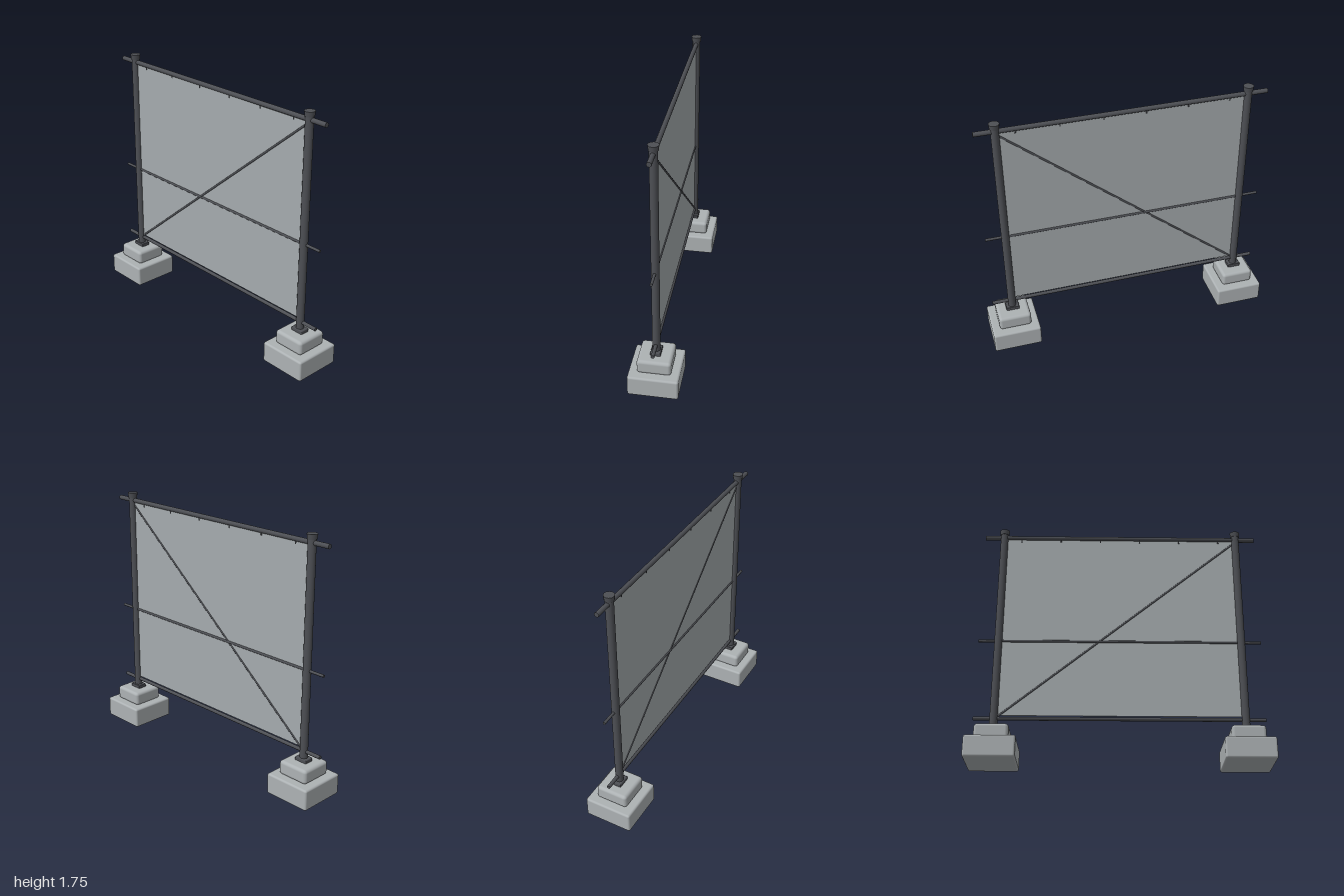
import * as THREE from 'three';
import { RoundedBoxGeometry } from 'three/addons/geometries/RoundedBoxGeometry.js';

export function createModel() {
  const model = new THREE.Group();
  model.name = 'fencePanel';

  const steel = new THREE.MeshStandardMaterial({ color: 0x4d4f54 });
  steel.name = 'dark steel';
  const concrete = new THREE.MeshStandardMaterial({ color: 0xadb2b4 });
  concrete.name = 'concrete';
  const sheet = new THREE.MeshStandardMaterial({ color: 0xa5abae });
  sheet.name = 'grey sheet';

  const add = (parent, name, geometry, material, x = 0, y = 0, z = 0) => {
    const mesh = new THREE.Mesh(geometry, material);
    mesh.name = name;
    mesh.position.set(x, y, z);
    parent.add(mesh);
    return mesh;
  };

  // Round bar between two points in the fence plane
  const bar = (name, x1, y1, x2, y2, radius, sides = 12) => {
    const dx = x2 - x1, dy = y2 - y1;
    const geometry = new THREE.CylinderGeometry(radius, radius, Math.hypot(dx, dy), sides);
    const mesh = add(model, name, geometry, steel, (x1 + x2) / 2, (y1 + y2) / 2);
    mesh.rotation.z = Math.atan2(dy, dx) - Math.PI / 2;
  };

  // Posts on stepped concrete feet, one at each end
  for (const side of [-1, 1]) {
    const stand = new THREE.Group();
    stand.name = side > 0 ? 'leftStand' : 'rightStand';
    stand.position.x = side * 0.833;
    model.add(stand);
    add(stand, 'footBlock', new RoundedBoxGeometry(0.334, 0.146, 0.334, 2, 0.014), concrete, 0, 0.073);
    add(stand, 'upperBlock', new RoundedBoxGeometry(0.226, 0.1, 0.226, 2, 0.022), concrete, 0, 0.193);
    add(stand, 'basePlate', new RoundedBoxGeometry(0.092, 0.028, 0.068, 1, 0.006), steel, 0, 0.253);
    add(stand, 'post', new THREE.CylinderGeometry(0.027, 0.027, 1.48, 16), steel, 0, 0.99);
    add(stand, 'postCap', new THREE.CylinderGeometry(0.035, 0.031, 0.034, 12), steel, 0, 1.733);
  }

  // Horizontal rails running past the posts, and the diagonal brace
  bar('topRail', -0.968, 1.695, 0.968, 1.695, 0.016);
  bar('middleRail', -0.968, 0.875, 0.968, 0.875, 0.0095);
  bar('bottomRail', -0.968, 0.312, 0.968, 0.312, 0.0125);
  bar('diagonalBrace', -0.815, 0.322, 0.815, 1.662, 0.0075, 8);

  // Thin infill sheet, stopping just above the bottom rail
  add(model, 'infillSheet', new THREE.BoxGeometry(1.63, 1.357, 0.004), sheet, 0, 1.0115);

  // Short ties hanging the sheet from the top rail
  for (let i = 0; i < 6; i++) {
    const x = (i - 2.5) * 0.283;
    bar('sheetTie', x, 1.662, x, 1.69, 0.005, 8);
  }

  return model;
}
